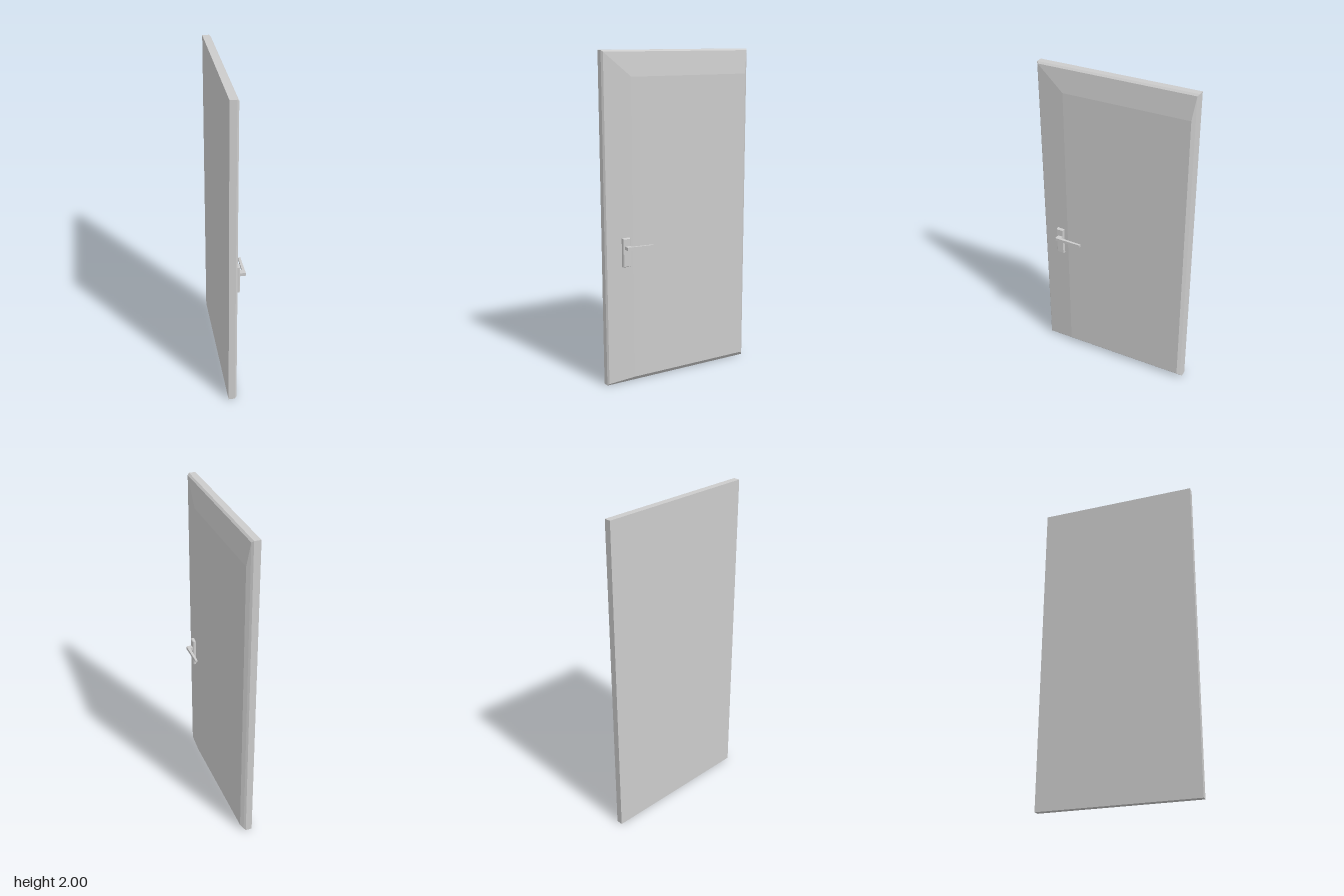
import * as THREE from 'three';

const material = new THREE.MeshStandardMaterial({ color: 0xcccccc, flatShading: true, side: THREE.DoubleSide });

// Stacks rectangles [x, y0, y1, z0, z1] along x into a closed, flat-faced solid
function stackedPanel(name, sections) {
  const rings = sections.map(([x, y0, y1, z0, z1]) =>
    [[x, y0, z1], [x, y0, z0], [x, y1, z0], [x, y1, z1]]);
  const points = [];
  const quad = (a, b, c, d) => points.push(...a, ...b, ...c, ...a, ...c, ...d);
  for (let i = 0; i < rings.length - 1; i++) {
    for (let k = 0; k < 4; k++) {
      const n = (k + 1) % 4;
      quad(rings[i][k], rings[i][n], rings[i + 1][n], rings[i + 1][k]);
    }
  }
  quad(...rings[0].slice().reverse());
  quad(...rings[rings.length - 1]);
  const geometry = new THREE.BufferGeometry();
  geometry.setAttribute('position', new THREE.Float32BufferAttribute(points, 3));
  geometry.computeVertexNormals();
  const mesh = new THREE.Mesh(geometry, material);
  mesh.name = name;
  return mesh;
}

export function createModel() {
  const door = new THREE.Group();
  door.name = 'door';

  // Slab with an uneven bevelled outer face
  door.add(stackedPanel('doorPanel', [
    [-0.06, 0, 2, -0.495, 0.495],
    [-0.02, 0, 2, -0.495, 0.495],
    [-0.009, 0.012, 1.99, -0.486, 0.486],
    [0.008, 0.03, 1.85, -0.467, 0.32],
  ]));

  const handle = new THREE.Group();
  handle.name = 'handle';
  door.add(handle);

  // Back plate with a small chamfer
  handle.add(stackedPanel('backPlate', [
    [-0.006, 0.74, 0.915, 0.345, 0.393],
    [0.018, 0.74, 0.915, 0.345, 0.393],
    [0.023, 0.744, 0.911, 0.349, 0.389],
  ]));

  // Neck joining the plate to the lever
  handle.add(stackedPanel('handleNeck', [
    [0.02, 0.848, 0.868, 0.35, 0.382],
    [0.058, 0.848, 0.868, 0.35, 0.382],
  ]));

  // Lever narrowing towards its free end
  const geometry = new THREE.BoxGeometry(0.018, 0.02, 0.172);
  const p = geometry.attributes.position;
  for (let i = 0; i < p.count; i++) {
    if (p.getZ(i) < 0) {
      p.setX(i, p.getX(i) * 0.75);
      if (p.getY(i) > 0) p.setY(i, 0.005);
    }
  }
  geometry.computeVertexNormals();
  const lever = new THREE.Mesh(geometry, material);
  lever.name = 'lever';
  lever.position.set(0.049, 0.858, 0.296);
  handle.add(lever);

  return door;
}
